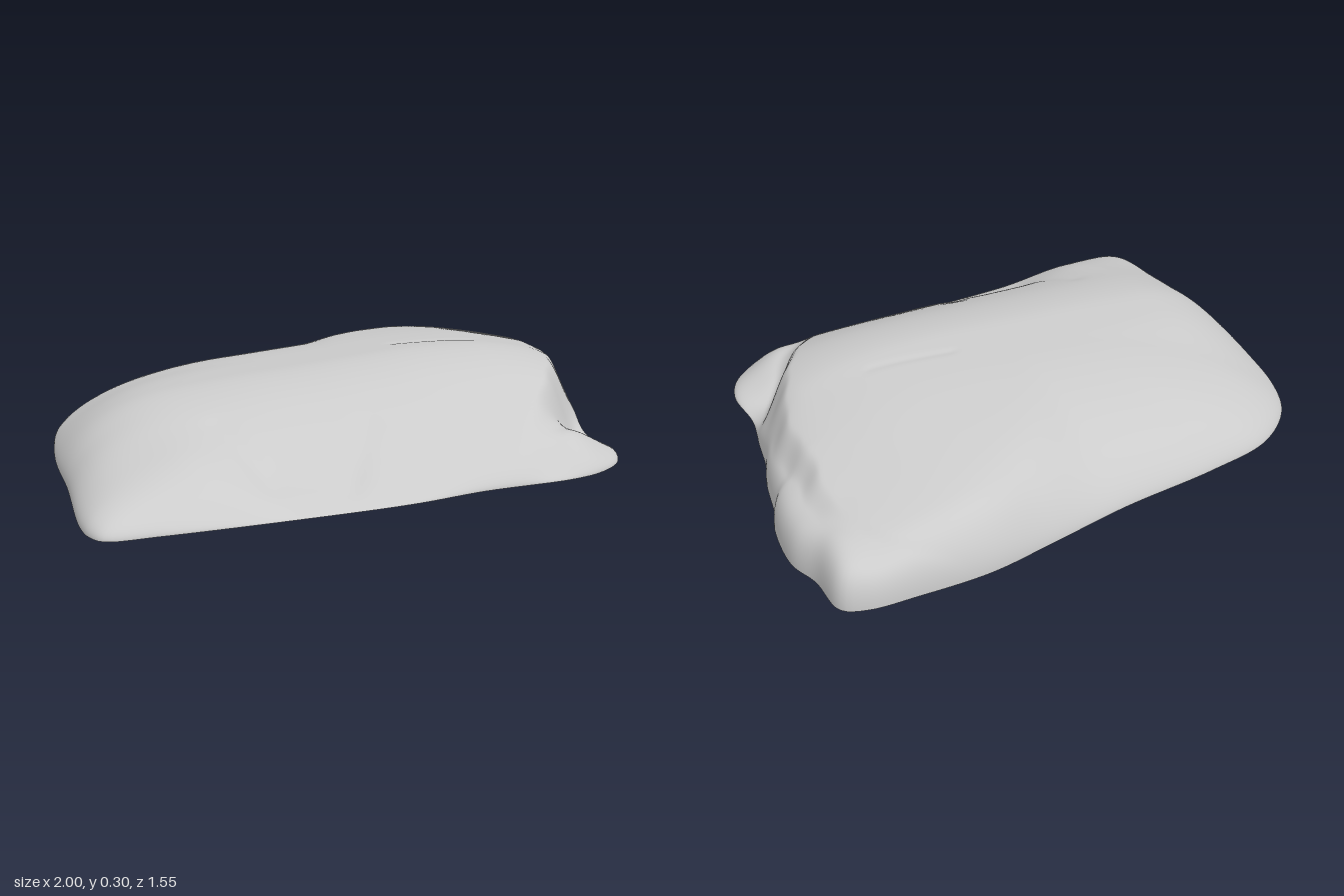
import * as THREE from 'three';

// Smooth interpolation through [position, value] pairs
function curve(pts) {
  const n = pts.length - 1;
  const slope = (i) => {
    const a = pts[Math.max(i - 1, 0)], b = pts[Math.min(i + 1, n)];
    return (b[1] - a[1]) / (b[0] - a[0]);
  };
  return (x) => {
    if (x <= pts[0][0]) return pts[0][1];
    if (x >= pts[n][0]) return pts[n][1];
    let i = 0;
    while (x > pts[i + 1][0]) i++;
    const w = pts[i + 1][0] - pts[i][0], t = (x - pts[i][0]) / w, t2 = t * t, t3 = t2 * t;
    return (2 * t3 - 3 * t2 + 1) * pts[i][1] + (t3 - 2 * t2 + t) * w * slope(i)
      + (3 * t2 - 2 * t3) * pts[i + 1][1] + (t3 - t2) * w * slope(i + 1);
  };
}

// Distance from (x, z) to a segment
function segDist(x, z, ax, az, bx, bz) {
  const dx = bx - ax, dz = bz - az;
  const t = THREE.MathUtils.clamp(((x - ax) * dx + (z - az) * dz) / (dx * dx + dz * dz), 0, 1);
  return Math.hypot(x - ax - t * dx, z - az - t * dz);
}
const bump = (d, r) => Math.exp(-(d * d) / (r * r));
const { smoothstep, lerp } = THREE.MathUtils;

// Ground outline (x, z), counter-clockwise seen from above
const outline = [
  [-1, 0.62], [-0.99, 0.7], [-0.96, 0.745], [-0.8, 0.76], [-0.4, 0.77], [-0.05, 0.765], [0.2, 0.735],
  [0.5, 0.73], [0.62, 0.7], [0.72, 0.63], [0.77, 0.53], [0.78, 0.35], [0.82, 0.2], [0.85, 0.08],
  [0.89, -0.02], [0.94, -0.2], [0.965, -0.25], [0.995, -0.44], [0.97, -0.55], [0.965, -0.7], [0.9, -0.74],
  [0.75, -0.76], [0.52, -0.775], [0.3, -0.75], [0, -0.71], [-0.35, -0.69], [-0.6, -0.65], [-0.78, -0.53],
  [-0.87, -0.38], [-0.92, -0.2], [-0.95, 0], [-0.965, 0.25],
];

// Dome sections along z and x
const domeZ = curve([[-0.78, 0.15], [-0.7, 0.195], [-0.6, 0.218], [-0.4, 0.252], [-0.2, 0.28], [0, 0.295],
  [0.1, 0.3], [0.2, 0.289], [0.3, 0.264], [0.4, 0.224], [0.5, 0.174], [0.6, 0.118], [0.7, 0.06], [0.77, 0.015]]);
const domeX = curve([[-1, 0.1], [-0.9, 0.152], [-0.8, 0.188], [-0.7, 0.214], [-0.6, 0.23], [-0.4, 0.25],
  [-0.2, 0.264], [0, 0.28], [0.2, 0.295], [0.4, 0.298], [0.5, 0.292], [0.6, 0.278], [0.7, 0.256], [0.8, 0.232], [1, 0.19]]);

// Broken edge on the left flank: its x at each z, and the ledge height below it
const breakX = curve([[-0.78, 0.58], [-0.7, 0.72], [-0.6, 0.81], [-0.5, 0.85], [-0.3, 0.84], [0, 0.8],
  [0.2, 0.75], [0.35, 0.68], [0.5, 0.56], [0.6, 0.47], [0.73, 0.38]]);
const ledgeY = curve([[-0.78, 0.13], [-0.6, 0.15], [-0.45, 0.148], [-0.2, 0.145], [0, 0.15], [0.1, 0.14],
  [0.2, 0.1], [0.3, 0.05], [0.38, 0.035], [0.48, 0.085], [0.58, 0.11], [0.68, 0.065], [0.75, 0.02]]);

function height(x, z, s) {
  // Dome, with a low ridge running to the sharp front corner
  let dome = domeZ(z) * domeX(x) / 0.3 + 0.035 * bump(segDist(x, z, -0.97, 0.71, -0.68, 0.6), 0.17);
  // Shallow scoop between two creases on the front slope
  dome -= 0.018 * bump(segDist(x, z, -0.4, 0.62, -0.25, 0.64), 0.1);
  dome -= 0.005 * bump(segDist(x, z, -0.53, 0.38, -0.45, 0.65), 0.035);
  dome -= 0.005 * bump(segDist(x, z, -0.08, 0.48, -0.22, 0.7), 0.035);
  // Hairline crack on top
  dome -= 0.003 * bump(segDist(x, z, 0.22, -0.03, 0.5, 0.01), 0.015);

  // Chipped ledge beyond the broken edge, falling away outward at the front lobe
  const front = smoothstep(z, 0.2, 0.42);
  const chips = Math.sin(17 * z + 5 * x) * Math.sin(23 * x - 9 * z + 1);
  const off = x - breakX(z) + 0.006 * Math.sin(19 * z) + 0.004 * Math.sin(43 * z + 1);
  const shelf = ledgeY(z) * (1 - 0.7 * front * smoothstep(x, 0.55, 0.8)) + 0.006 * chips;
  const ledge = Math.min(shelf, dome + 0.03);
  const broken = smoothstep(off, lerp(-0.01, -0.08, smoothstep(z, 0, 0.3)), 0.06);
  const y = lerp(dome, ledge, broken);

  // Rim falloff: crisp on the ledge and front, long and soft toward the back right
  const dir = (-0.5 * x - 0.87 * z) / Math.max(Math.hypot(x, z), 1e-6);
  const soft = smoothstep(dir, 0.3, 0.85);
  const firm = 11 + 9 * smoothstep(x, 0.3, 0.7) + 12 * smoothstep(z, 0.2, 0.7);
  const crisp = lerp(lerp(firm, lerp(28, 16, front), broken), 3.9, soft);
  return Math.max(0, y) * Math.pow(Math.max(0, 1 - Math.pow(s, crisp)), lerp(0.5, 0.65, soft));
}

export function createModel() {
  const rings = 90, segs = 320;
  const path = new THREE.CatmullRomCurve3(outline.map(([x, z]) => new THREE.Vector3(x, 0, z)), true);
  const rim = path.getSpacedPoints(segs).slice(0, segs);

  // Open shell made of rings growing from the centre to the outline
  const pos = [0, height(0, 0, 0), 0], index = [];
  for (let r = 1; r <= rings; r++) {
    const s = r === rings ? 1 : Math.sin((r / rings) * Math.PI / 2);
    for (const p of rim) pos.push(p.x * s, height(p.x * s, p.z * s, s), p.z * s);
  }
  for (let i = 0; i < segs; i++) {
    const j = (i + 1) % segs;
    index.push(0, 1 + i, 1 + j);
    for (let r = 1; r < rings; r++) {
      const a = 1 + (r - 1) * segs, b = a + segs;
      index.push(a + i, b + i, b + j, a + i, b + j, a + j);
    }
  }
  const geo = new THREE.BufferGeometry();
  geo.setAttribute('position', new THREE.Float32BufferAttribute(pos, 3));
  geo.setIndex(index);
  geo.computeVertexNormals();

  const rock = new THREE.Mesh(geo, new THREE.MeshStandardMaterial({ color: 0xcccccc, side: THREE.DoubleSide }));
  rock.name = 'rockShell';
  const group = new THREE.Group();
  group.name = 'flatRock';
  group.add(rock);
  return group;
}
